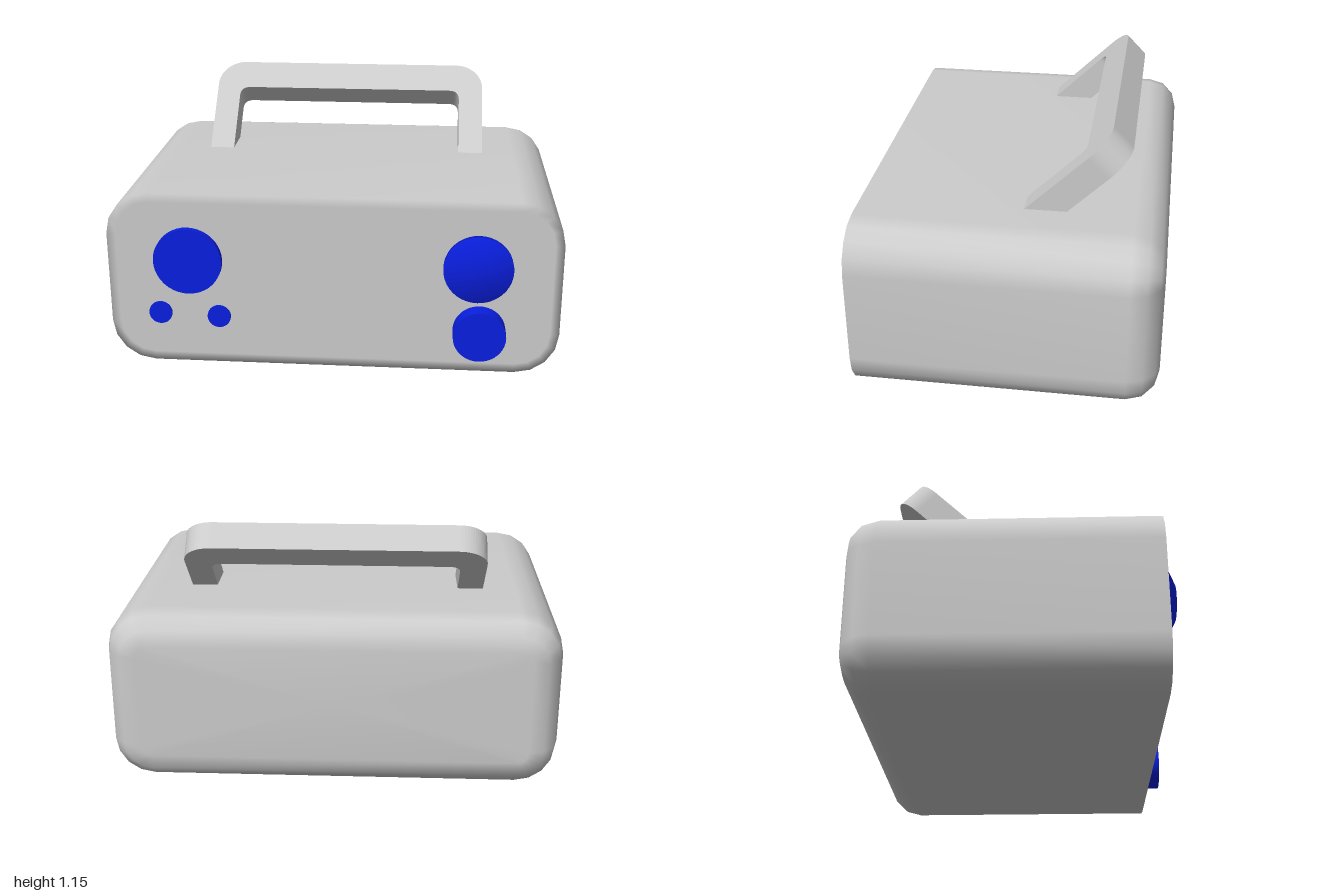
import * as THREE from 'three';
import { mergeVertices } from 'three/addons/utils/BufferGeometryUtils.js';

const FRONT = 0.63;
const grey = new THREE.MeshStandardMaterial({ color: 0xcccccc });
const blue = new THREE.MeshStandardMaterial({ color: 0x0a1fe0 });

function addMesh(parent, name, geometry, material) {
  const mesh = new THREE.Mesh(geometry, material);
  mesh.name = name;
  parent.add(mesh);
  return mesh;
}

// Rounded rectangle, counter-clockwise, shrunk by an inset
function roundedRing(inset, z) {
  const r = 0.19 - inset, points = [];
  for (let corner = 0; corner < 4; corner++) {
    const sx = corner === 0 || corner === 3 ? 1 : -1;
    const sy = corner < 2 ? 1 : -1;
    for (let i = 0; i <= 4; i++) {
      const a = (corner + i / 4) * Math.PI / 2;
      points.push([sx * 0.81 + r * Math.cos(a), 0.4 + sy * 0.21 + r * Math.sin(a), z]);
    }
  }
  return points;
}

// Case: flat front, straight sides, rounded back edge
function bodyGeometry() {
  const centre = z => new Array(20).fill([0, 0.4, z]);
  const rings = [centre(FRONT), roundedRing(0.04, FRONT), roundedRing(0, FRONT)];
  for (let i = 0; i <= 3; i++) {
    const a = i * Math.PI / 6;
    rings.push(roundedRing(0.14 * (1 - Math.cos(a)), -0.56 - 0.14 * Math.sin(a)));
  }
  rings.push(centre(-0.7));
  const index = [], n = 20;
  for (let k = 0; k < rings.length - 1; k++) {
    for (let j = 0; j < n; j++) {
      const a = k * n + j, b = k * n + (j + 1) % n;
      index.push(a, a + n, b, b, a + n, b + n);
    }
  }
  const geometry = new THREE.BufferGeometry();
  geometry.setAttribute('position', new THREE.Float32BufferAttribute(rings.flat(2), 3));
  geometry.setIndex(index);
  geometry.computeVertexNormals();
  return geometry;
}

// Round part lying against the front panel
function discGeometry(x, y, radius, depth, topRadius = radius, base = FRONT) {
  const back = base === FRONT ? 0.02 : 0;
  const geometry = new THREE.CylinderGeometry(topRadius, radius, depth + back, 40);
  geometry.rotateX(Math.PI / 2);
  geometry.translate(x, y, base + (depth - back) / 2);
  return geometry;
}

// Share vertices across the rim so that the disc shades like a dome
function softened(geometry) {
  geometry.deleteAttribute('normal');
  geometry.deleteAttribute('uv');
  const soft = mergeVertices(geometry, 1e-4);
  soft.computeVertexNormals();
  return soft;
}

// Carrying handle: a U outline with rounded corners, legs sunk into the case
function handleGeometry() {
  const bottom = -0.03, top = 0.502, inner = 0.352;
  const s = new THREE.Shape();
  s.moveTo(-0.665, bottom);
  s.lineTo(-0.55, bottom);
  s.lineTo(-0.55, inner - 0.05);
  s.quadraticCurveTo(-0.55, inner, -0.5, inner);
  s.lineTo(0.5, inner);
  s.quadraticCurveTo(0.55, inner, 0.55, inner - 0.05);
  s.lineTo(0.55, bottom);
  s.lineTo(0.665, bottom);
  s.lineTo(0.665, top - 0.13);
  s.absarc(0.535, top - 0.13, 0.13, 0, Math.PI / 2, false);
  s.lineTo(-0.535, top);
  s.absarc(-0.535, top - 0.13, 0.13, Math.PI / 2, Math.PI, false);
  s.closePath();
  const geometry = new THREE.ExtrudeGeometry(s, { depth: 0.127, bevelEnabled: false, curveSegments: 8 });
  return geometry.translate(0, 0, -0.127);
}

export function createModel() {
  const model = new THREE.Group();
  model.name = 'portableCase';

  addMesh(model, 'body', bodyGeometry(), grey);

  const handle = addMesh(model, 'handle', handleGeometry(), grey);
  handle.position.set(0, 0.8, -0.085);
  handle.rotation.x = -0.8;

  // Large tapered dial on the right
  const dial = new THREE.Group();
  dial.name = 'dial';
  model.add(dial);
  addMesh(dial, 'dialBase', discGeometry(-0.64, 0.495, 0.152, 0.027), blue);
  const face = discGeometry(-0.64, 0.495, 0.152, 0.035, 0.08, FRONT + 0.027);
  const normals = face.attributes.normal;
  for (let i = 0; i < normals.count; i++) normals.setXYZ(i, 0, 0, 1);
  addMesh(dial, 'dialFace', face, blue);

  // Small buttons below the dial
  for (const [x, y] of [[-0.775, 0.238], [-0.51, 0.228]]) {
    addMesh(model, 'button', discGeometry(x, y, 0.052, 0.01), blue);
  }

  // Round lens and protruding knob on the left
  addMesh(model, 'lens', softened(discGeometry(0.635, 0.495, 0.152, 0.027)), blue);
  addMesh(model, 'knob', discGeometry(0.648, 0.2, 0.116, 0.075), blue);

  return model;
}
